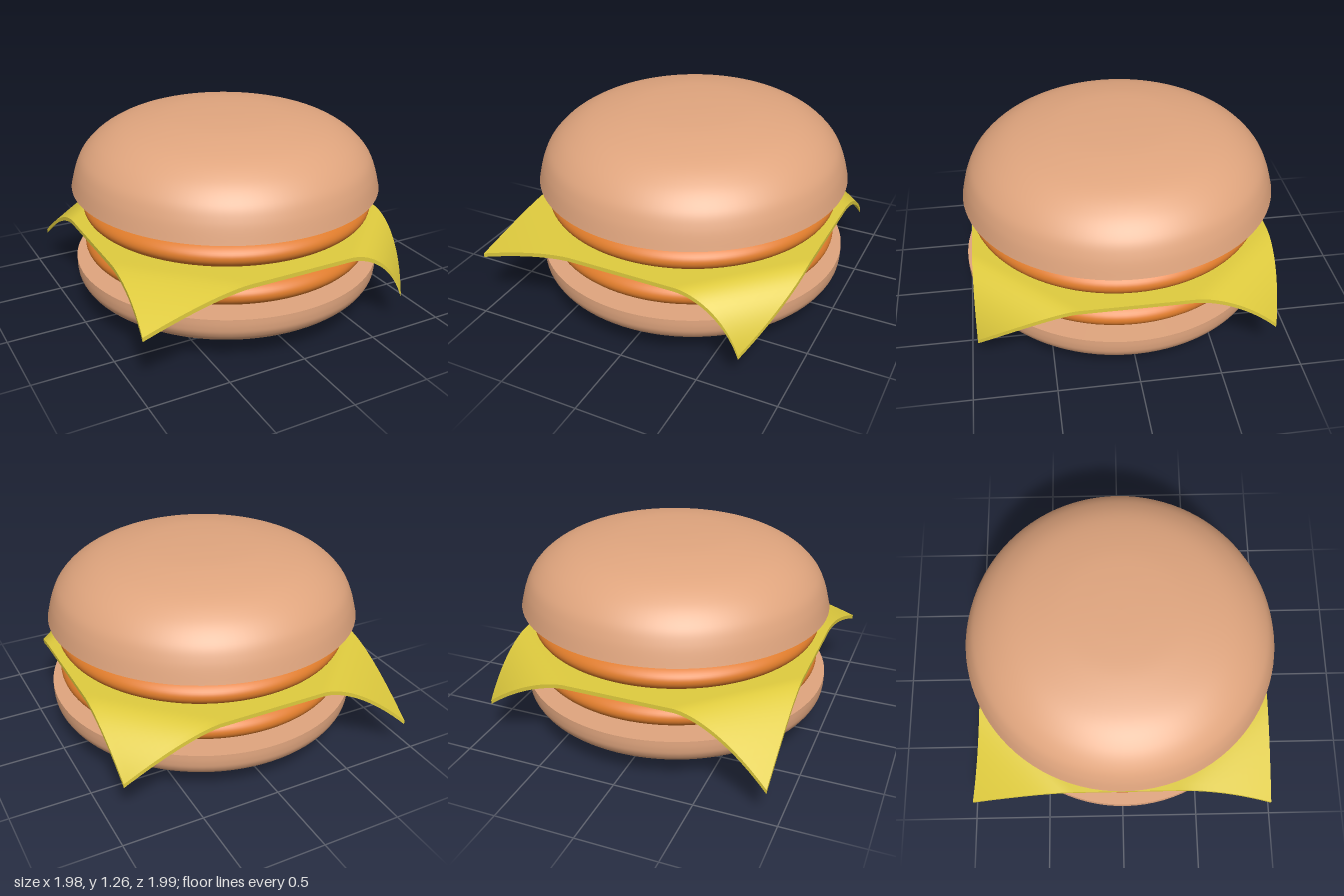
import * as THREE from 'three';

const material = (color) => new THREE.MeshStandardMaterial({ color });
const toVectors = (pairs) => pairs.map(([r, y]) => new THREE.Vector2(r, y));

function addLathe(parent, name, points, mat) {
  const mesh = new THREE.Mesh(new THREE.LatheGeometry(points, 96), mat);
  mesh.name = name;
  parent.add(mesh);
  return mesh;
}

// Smooth shell from a few profile points, listed bottom to top
const smooth = (pairs) => new THREE.SplineCurve(toVectors(pairs)).getPoints(48);

// Rounded patty: superellipse rim around a nearly flat top and bottom
function pattyProfile(radius, height) {
  const points = [];
  const rim = 0.34, n = 40;
  points.push(new THREE.Vector2(0, -height / 2));
  for (let i = 0; i <= n; i++) {
    const a = -Math.PI / 2 + (Math.PI * i) / n;
    const c = Math.pow(Math.max(0, Math.cos(a)), 0.85);
    const s = Math.sign(a) * Math.pow(Math.abs(Math.sin(a)), 1.0);
    points.push(new THREE.Vector2(radius - rim + rim * c, (s * height) / 2));
  }
  points.push(new THREE.Vector2(0, height / 2));
  return points;
}

// Square slice whose four corners each droop by their own amount
function cheeseGeometry() {
  const half = 0.935, midZ = 0.015;
  const geo = new THREE.BoxGeometry(half * 2, 0.026, half * 2, 48, 1, 48);
  const corners = [
    { sx: 1, sz: 1, move: [-0.2, -0.34, 0] },
    { sx: -1, sz: 1, move: [-0.06, -0.15, 0] },
    { sx: 1, sz: -1, move: [-0.02, -0.28, 0.08] },
    { sx: -1, sz: -1, move: [0.01, -0.34, -0.075] },
  ];
  const pos = geo.attributes.position;
  for (let i = 0; i < pos.count; i++) {
    const x = pos.getX(i), y = pos.getY(i), z = pos.getZ(i);
    let dx = 0, dy = 0, dz = 0;
    for (const { sx, sz, move } of corners) {
      const t = Math.max(0, (sx * x + sz * z - 1.28) / (2 * half - 1.28));
      dx += move[0] * t * t;
      dy += move[1] * Math.pow(t, 1.6);
      dz += move[2] * t * t;
    }
    pos.setXYZ(i, x + dx, y + dy, z + dz + midZ);
  }
  geo.computeVertexNormals();
  return geo;
}

export function createModel() {
  const model = new THREE.Group();
  model.name = 'burger';
  const bread = material(0xe0a57e);
  const meat = material(0xdf7c2b);
  const cheeseMat = material(0xdfcb3e);

  // Bottom bun: rounded base with a flat cut face
  const bottomBun = new THREE.Group();
  bottomBun.name = 'bottomBun';
  addLathe(bottomBun, 'bottomBunShell', smooth([
    [0, 0.003], [0.25, 0.008], [0.5, 0.033], [0.7, 0.072], [0.85, 0.125],
    [0.935, 0.18], [0.972, 0.23], [0.982, 0.28], [0.982, 0.333],
  ]), bread);
  addLathe(bottomBun, 'bottomBunCutFace', toVectors([[0.982, 0.333], [0, 0.333]]), bread);
  bottomBun.position.set(0.003, 0, 0.015);
  model.add(bottomBun);

  // Two patties with the cheese between them
  for (const [name, y] of [['lowerPatty', 0.435], ['upperPatty', 0.68]]) {
    const patty = addLathe(model, name, pattyProfile(0.922, 0.228), meat);
    patty.position.set(0.004, y, 0.018);
  }

  const cheese = new THREE.Mesh(cheeseGeometry(), cheeseMat);
  cheese.name = 'cheeseSlice';
  cheese.position.y = 0.552;
  model.add(cheese);

  // Top bun: dome with a flat underside, tipped slightly forward
  const topBun = new THREE.Group();
  topBun.name = 'topBun';
  addLathe(topBun, 'topBunDome', smooth([
    [0.982, 0], [0.95, 0.118], [0.9, 0.215], [0.8, 0.308], [0.65, 0.382],
    [0.42, 0.432], [0.2, 0.45], [0, 0.454],
  ]), bread);
  addLathe(topBun, 'topBunUnderside', toVectors([[0, 0], [0.982, 0]]), bread);
  topBun.position.set(0.003, 0.804, 0.002);
  topBun.rotation.x = 0.015;
  model.add(topBun);

  return model;
}
